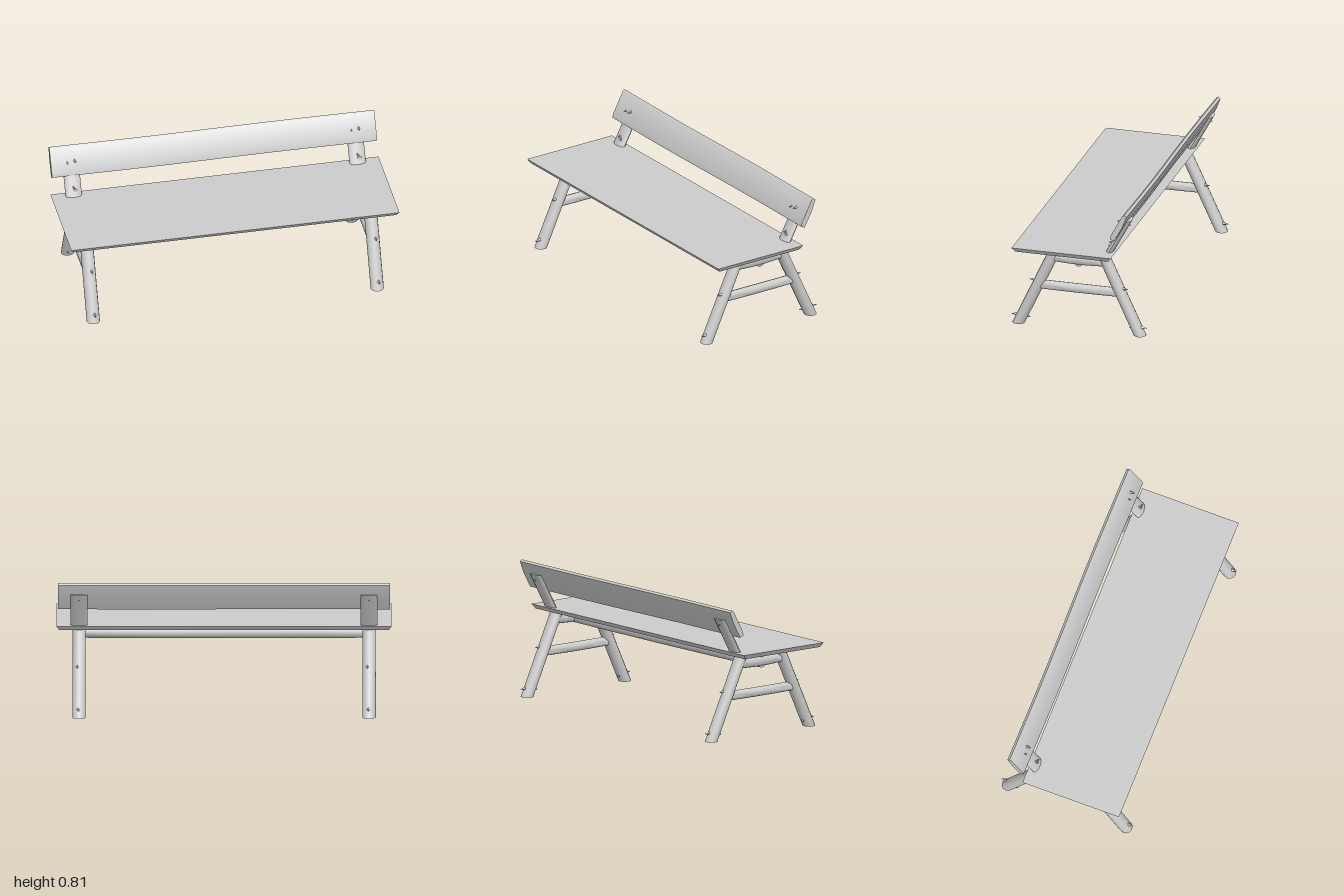
import * as THREE from 'three';
import { toCreasedNormals } from 'three/addons/utils/BufferGeometryUtils.js';

const material = new THREE.MeshStandardMaterial({ color: 0xcccccc });

function add(parent, name, geometry, crease = 0.9) {
  const mesh = new THREE.Mesh(toCreasedNormals(geometry, crease), material);
  mesh.name = name;
  parent.add(mesh);
  return mesh;
}

// Slanted log with level ends, leaning from z0 at y0 to z1 at y1
function leaningLog(y0, z0, y1, z1, rx, rz) {
  const g = new THREE.CylinderGeometry(1, 1, y1 - y0, 12);
  g.scale(rx, 1, rz);
  g.translate(0, (y0 + y1) / 2, 0);
  const p = g.attributes.position;
  for (let i = 0; i < p.count; i++) {
    const t = (p.getY(i) - y0) / (y1 - y0);
    p.setZ(i, p.getZ(i) + z0 + (z1 - z0) * t);
  }
  return g;
}

// Rough log lying along x or z, its underside sagging slightly in the middle
function lyingLog(length, radius, axis, sag) {
  const g = new THREE.CylinderGeometry(radius, radius, length, 10, 6);
  if (axis === 'x') g.rotateZ(Math.PI / 2);
  else g.rotateX(Math.PI / 2);
  const p = g.attributes.position;
  for (let i = 0; i < p.count; i++) {
    const along = axis === 'x' ? p.getX(i) : p.getZ(i);
    if (p.getY(i) < 0) p.setY(i, p.getY(i) - sag * Math.cos((along / length) * Math.PI));
  }
  return g;
}

// Small splinter pointing along +z or -z, with its tip at the given spot
function splinter(parent, x, y, tipZ, dir) {
  const length = 0.05;
  const g = new THREE.ConeGeometry(0.016, length, 4);
  g.rotateX(dir * Math.PI / 2);
  g.translate(x, y, tipZ - dir * length / 2);
  add(parent, 'splinter', g, 0.1);
}

export function createModel() {
  const bench = new THREE.Group();
  bench.name = 'bench';

  // Seat plank, bevelled in towards the underside
  const seat = new THREE.BoxGeometry(2, 0.028, 0.616);
  const sp = seat.attributes.position;
  for (let i = 0; i < sp.count; i++) {
    if (sp.getY(i) < 0) {
      sp.setX(i, sp.getX(i) * 0.982);
      sp.setZ(i, sp.getZ(i) * 0.935);
    }
  }
  seat.translate(0, 0.511, 0.075);
  add(bench, 'seat', seat, 0.3);

  // Tilted backrest plank: profile in (-z, y) extruded along x
  const profile = new THREE.Shape([
    [0.252, 0.634], [0.228, 0.645], [0.232, 0.668], [0.304, 0.8],
    [0.317, 0.808], [0.331, 0.797], [0.305, 0.728],
  ].map(([z, y]) => new THREE.Vector2(z, y)));
  const back = new THREE.ExtrudeGeometry(profile, { depth: 1.98, steps: 12, bevelEnabled: false });
  back.rotateY(Math.PI / 2);
  back.translate(-0.99, 0, 0);
  const bp = back.attributes.position;
  for (let i = 0; i < bp.count; i++) {
    const wave = Math.sin(bp.getX(i) * 4);
    bp.setZ(i, bp.getZ(i) - 0.003 * wave);
  }
  add(bench, 'backrest', back);

  // End frames, mirrored left and right
  for (const side of [-1, 1]) {
    const frame = new THREE.Group();
    frame.name = side > 0 ? 'leftFrame' : 'rightFrame';
    frame.position.x = side * 0.865;
    bench.add(frame);

    add(frame, 'frontLeg', leaningLog(0, 0.377, 0.503, 0.143, 0.04, 0.038));
    add(frame, 'rearLeg', leaningLog(0, -0.377, 0.503, -0.143, 0.04, 0.038));
    add(frame, 'backPost', leaningLog(0.5, -0.181, 0.735, -0.308, 0.05, 0.022));
    add(frame, 'lowerCrossbar', lyingLog(0.5, 0.028, 'z', 0.002)).position.y = 0.259;
    add(frame, 'upperCrossbar', lyingLog(0.32, 0.031, 'z', 0.006)).position.y = 0.447;

    // Splintered knots on the legs and posts
    for (const z of [-1, 1]) {
      splinter(frame, 0.005, 0.05, z * 0.423, z);
      splinter(frame, -0.01, 0.038, z * 0.302, -z);
      splinter(frame, 0.01, 0.287, z * 0.308, z);
    }
    splinter(frame, 0, 0.578, -0.182, 1);
    splinter(frame, 0.01, 0.562, -0.238, -1);
    splinter(frame, 0.02, 0.725, -0.236, 1);
    splinter(frame, -0.025, 0.718, -0.242, 1);
    splinter(frame, 0, 0.7, -0.325, -1);
  }

  // Long rail joining the two end frames under the seat
  add(bench, 'longRail', lyingLog(1.77, 0.035, 'x', 0.003)).position.y = 0.439;

  return bench;
}
